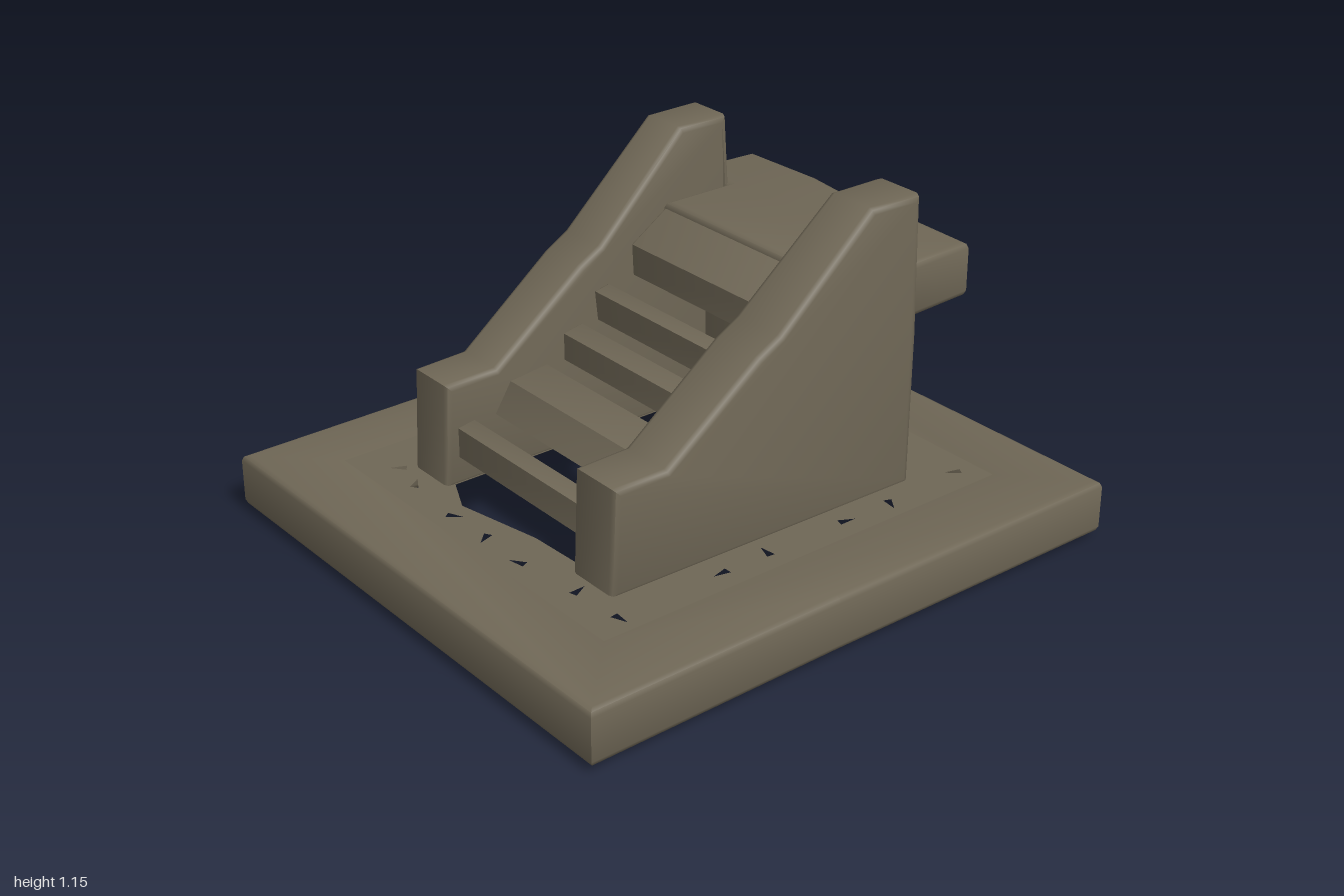
import * as THREE from 'three';
import { toCreasedNormals } from 'three/addons/utils/BufferGeometryUtils.js';

const V = (x, y) => new THREE.Vector2(x, y);
const rect = (x, z0, z1) => [V(-x, z0), V(x, z0), V(x, z1), V(-x, z1)];

// Extrude an outline with softly rounded edges, keeping its full size
function slab(points, depth, bevel, holes = []) {
  const shape = new THREE.Shape(points);
  holes.forEach((h) => shape.holes.push(new THREE.Path(h)));
  return new THREE.ExtrudeGeometry(shape, {
    depth: depth - 2 * bevel, bevelThickness: bevel, bevelSize: bevel,
    bevelOffset: -bevel, bevelSegments: 2,
  }).translate(0, 0, bevel);
}
// Outline in x,z standing between two heights
const flat = (points, y0, y1, bevel, holes) =>
  slab(points, y1 - y0, bevel, holes).rotateX(Math.PI / 2).translate(0, y1, 0);
// Outline in z,y running across x
const across = (points, x0, x1, bevel) =>
  slab(points, x1 - x0, bevel).rotateY(-Math.PI / 2).translate(x1, 0, 0);

// Move each vertex by a rule
function warp(geometry, rule) {
  const p = geometry.attributes.position;
  const v = new THREE.Vector3();
  for (let i = 0; i < p.count; i++) {
    rule(v.fromBufferAttribute(p, i));
    p.setXYZ(i, v.x, v.y, v.z);
  }
  return geometry;
}

export function createModel() {
  const model = new THREE.Group();
  model.name = 'staircase';
  const stone = new THREE.MeshStandardMaterial({ color: 0x6e6655, side: THREE.DoubleSide });
  stone.name = 'weathered stone';
  const add = (name, geometry) => {
    const mesh = new THREE.Mesh(toCreasedNormals(geometry, 0.9), stone);
    mesh.name = name;
    model.add(mesh);
  };

  // Base: a thick rim, hollow underneath, sagging a little at the back
  const outline = [V(-0.91, -0.995), V(0.22, -1), V(0.92, -1), V(0.915, 0.1), V(0.925, 1),
    V(-0.915, 1), V(-0.925, -0.72)];
  const rim = flat(outline, 0.02, 0.2, 0.02, [rect(0.65, -0.74, 0.74)]);
  add('baseRim', warp(rim, (v) => {
    if (v.y < 0.06 && v.z < -0.9) v.y -= 0.02 * Math.max(0, 1 - Math.abs(v.x - 0.22) / 0.6);
  }));

  // Thin deck over the hollow, open below the steps and chipped around them
  const deck = new THREE.Shape(rect(0.675, -0.765, 0.765));
  deck.holes.push(new THREE.Path([V(-0.325, -0.43), V(0.325, -0.43), V(0.325, 0.57),
    V(0.1, 0.58), V(-0.2, 0.64), V(-0.325, 0.58)]));
  const chips = [[-0.59, -0.69], [-0.6, -0.36], [-0.6, -0.15], [-0.6, 0.03], [-0.6, 0.28],
    [-0.52, 0.65], [-0.4, 0.68], [-0.17, 0.7], [0.0, 0.69], [0.19, 0.7], [0.42, 0.67],
    [0.6, 0.66], [0.6, 0.27], [0.6, 0.1], [0.6, -0.2], [0.6, -0.39], [0.59, -0.69]];
  chips.forEach(([x, z], i) => {
    const tri = [0, 2.4, 3.9].map((a, k) => {
      const r = k ? 0.02 : 0.04;
      return V(x + r * Math.cos(a + i * 1.7), z + r * Math.sin(a + i * 1.7));
    });
    deck.holes.push(new THREE.Path(tri));
  });
  add('baseDeck', new THREE.ShapeGeometry(deck).rotateX(Math.PI / 2).translate(0, 0.201, 0));

  // Sloping side walls, thinner above the landing and narrowing a little towards the front
  const profile = [V(-0.535, 0.19), V(0.61, 0.19), V(0.595, 0.54), V(0.41, 0.545), V(0.08, 0.8),
    V(0, 0.845), V(-0.34, 1.155), V(-0.53, 1.155), V(-0.54, 0.7)];
  const shapeWall = (v) => {
    const side = Math.sign(v.x);
    if (Math.abs(v.x) < 0.4 && v.y > 1) v.x += side * 0.025;
    if (Math.abs(v.x) > 0.45) v.x -= side * 0.02 * (v.z + 0.53);
  };
  add('leftWall', warp(across(profile, 0.32, 0.535, 0.02), shapeWall));
  add('rightWall', warp(across(profile, -0.53, -0.325, 0.02), shapeWall));

  // Landing, reaching out behind the walls
  add('landing', flat([V(-0.505, -0.775), V(-0.2, -0.785), V(0, -0.76), V(0.22, -0.785),
    V(0.505, -0.775), V(0.52, -0.52), V(0.335, -0.52), V(0.335, -0.26), V(-0.335, -0.26),
    V(-0.335, -0.52), V(-0.52, -0.52)], 0.75, 0.93, 0.02));

  // Sloped nosing below the landing, then the open boards, as z,y sections
  const steps = [
    [V(-0.3, 0.915), V(-0.27, 0.915), V(-0.125, 0.82), V(-0.13, 0.715), V(-0.17, 0.715), V(-0.3, 0.8)],
    [V(-0.03, 0.71), V(-0.03, 0.6), V(0.015, 0.6), V(0.025, 0.7)],
    [V(0.08, 0.605), V(0.09, 0.505), V(0.15, 0.5), V(0.15, 0.59)],
    [V(0.22, 0.505), V(0.26, 0.4), V(0.42, 0.395), V(0.36, 0.49)],
    [V(0.5, 0.4), V(0.5, 0.29), V(0.56, 0.29), V(0.56, 0.39)],
  ];
  steps.forEach((section) => add('step', across(section, -0.335, 0.335, 0.008)));

  // Wall closing the back below the landing
  add('backWall', across([V(-0.49, 0.19), V(-0.43, 0.19), V(-0.43, 0.78), V(-0.49, 0.78)],
    -0.335, 0.335, 0.005));
  return model;
}
